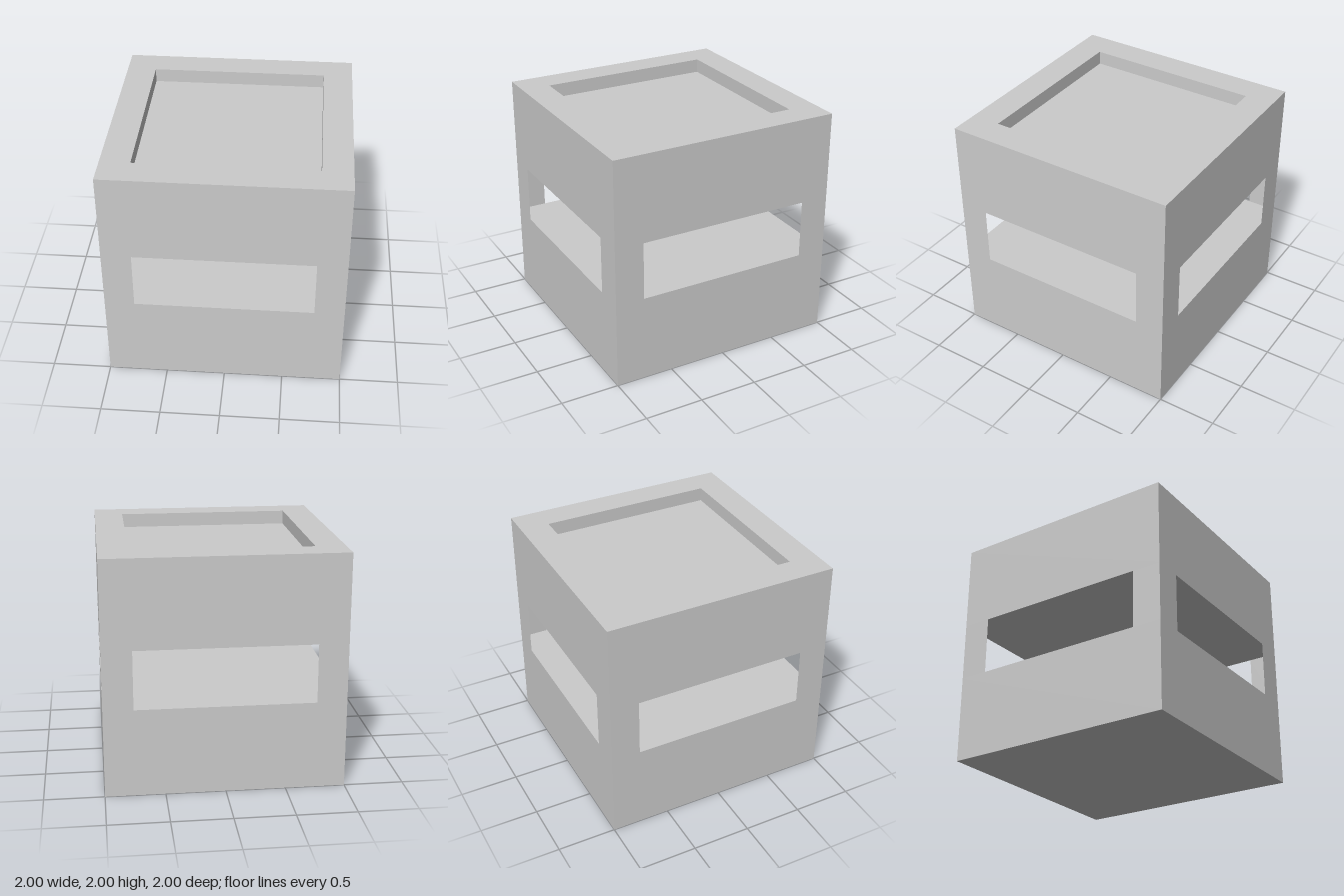
import * as THREE from 'three';

const material = new THREE.MeshStandardMaterial({ color: 0xcccccc, flatShading: true });
const thinMaterial = new THREE.MeshStandardMaterial({ color: 0xcccccc, side: THREE.DoubleSide });

// Square solid swept from [half width, height] points, with crisp faces.
function squareSolid(name, profile) {
  const points = profile.map(([half, y]) => new THREE.Vector2(half * Math.SQRT2, y));
  const geometry = new THREE.LatheGeometry(points, 4, Math.PI / 4).toNonIndexed();
  geometry.computeVertexNormals();
  const mesh = new THREE.Mesh(geometry, material);
  mesh.name = name;
  return mesh;
}

export function createModel() {
  const group = new THREE.Group();
  group.name = 'openCube';

  const half = 1, inner = 0.75;
  const sillY = 0.75, lintelY = 1.25, topY = 2, recessY = 1.88;

  // Solid lower block
  group.add(squareSolid('base', [[0, 0], [half, 0], [half, sillY], [0, sillY]]));

  // Upper block with a shallow square recess in its top
  group.add(squareSolid('recessedTop', [
    [0, lintelY], [half, lintelY], [half, topY],
    [inner, topY], [inner, recessY], [0, recessY],
  ]));

  // Thin L-shaped corner posts between the blocks: two strips on each side
  const width = half - inner;
  const strip = new THREE.PlaneGeometry(width, lintelY - sillY);
  for (let side = 0; side < 4; side++) {
    const wall = new THREE.Group();
    wall.name = 'cornerPostWall' + (side + 1);
    wall.rotation.y = side * Math.PI / 2;
    for (const s of [-1, 1]) {
      const post = new THREE.Mesh(strip, thinMaterial);
      post.name = 'cornerPostStrip';
      post.position.set(s * (half - width / 2), (sillY + lintelY) / 2, half);
      wall.add(post);
    }
    group.add(wall);
  }

  return group;
}
